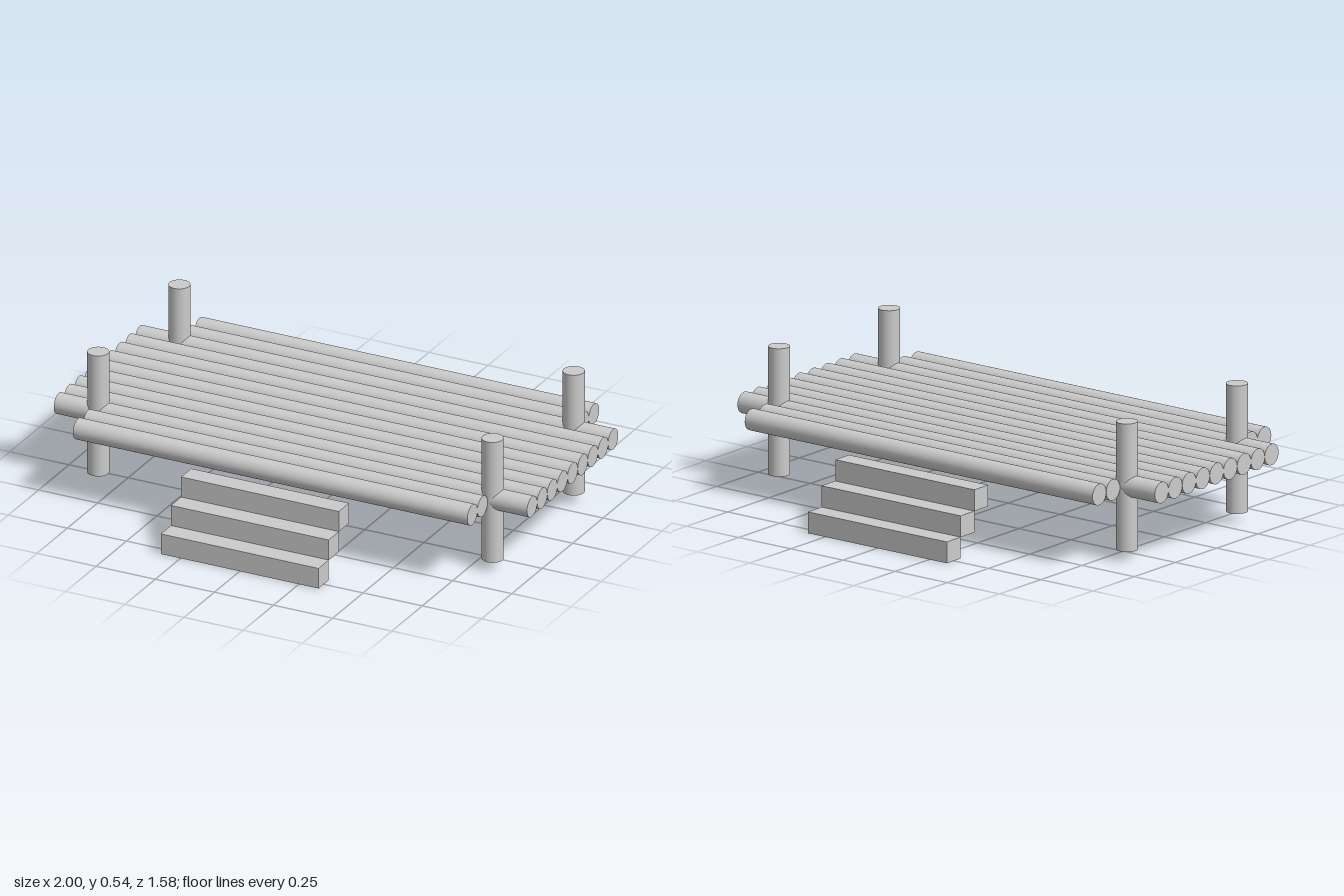
import * as THREE from 'three';

const U = 1 / 12;            // log diameter and step size
const DECK_Y = 3.5 * U;      // height of the log axes

export function createModel() {
  const group = new THREE.Group();
  const material = new THREE.MeshStandardMaterial({ color: 0xcccccc });

  const add = (name, geometry, x, y, z) => {
    const mesh = new THREE.Mesh(geometry, material);
    mesh.name = name;
    mesh.position.set(x, y, z);
    group.add(mesh);
    return mesh;
  };
  const log = (length) => new THREE.CylinderGeometry(U / 2, U / 2, length, 32);

  // Deck: thirteen logs side by side, the outer two on each side shorter
  const longLog = log(2).rotateZ(Math.PI / 2);
  const shortLog = log(20 * U).rotateZ(Math.PI / 2);
  for (let i = -6; i <= 6; i++) {
    add('deckLog', Math.abs(i) > 4 ? shortLog : longLog, 0, DECK_Y, i * U);
  }

  // Corner posts passing through the deck
  const post = log(6 * U);
  for (const x of [-10 * U, 10 * U]) {
    for (const z of [-4 * U, 4 * U]) add('post', post, x, DECK_Y, z);
  }

  // Three steps at the front and the back
  const step = new THREE.BoxGeometry(8 * U, U, U);
  for (const side of [-1, 1]) {
    for (let i = 0; i < 3; i++) {
      add(side > 0 ? 'frontStep' : 'backStep', step, 0, (i + 0.5) * U, side * (9 - i) * U);
    }
  }
  return group;
}
